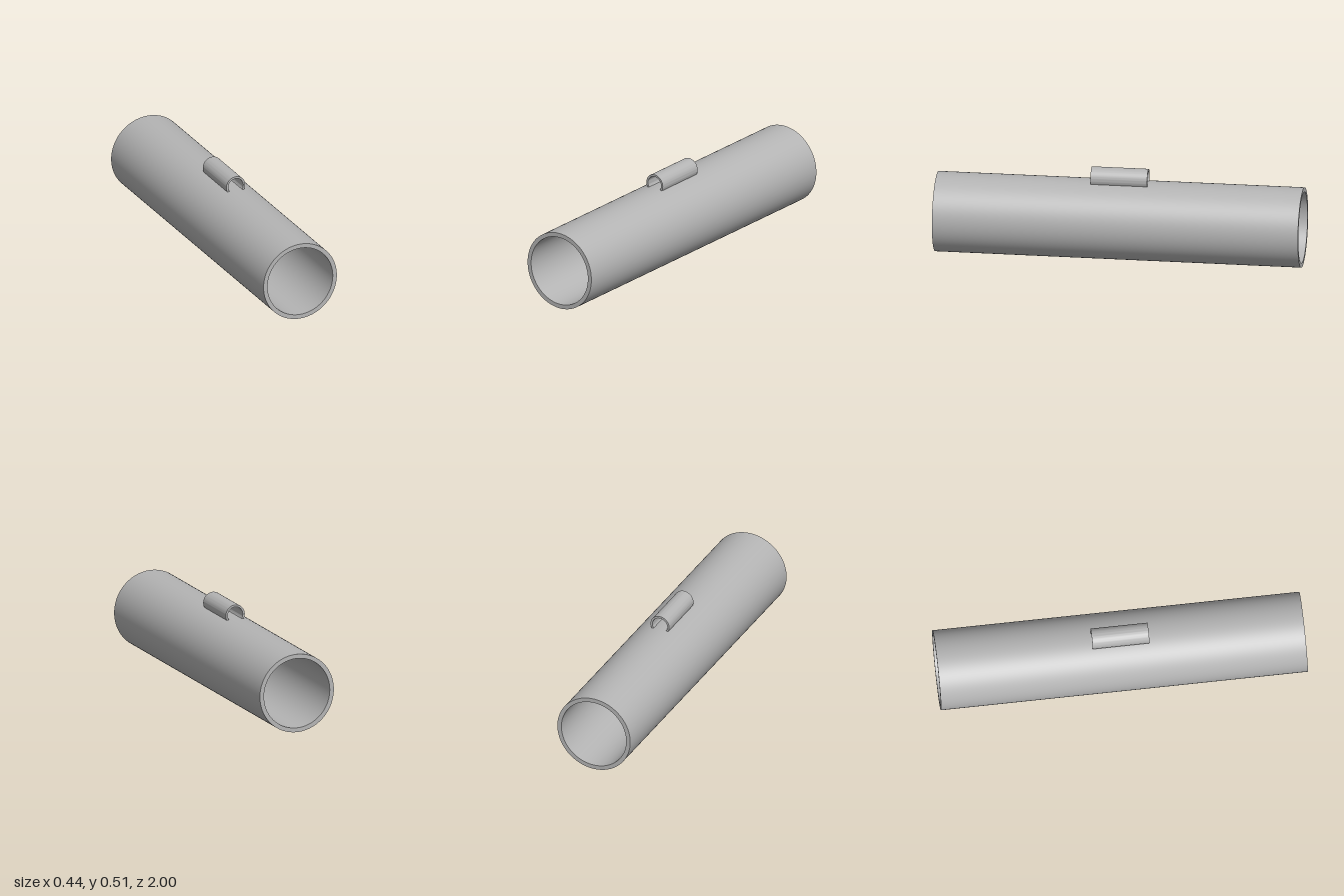
import * as THREE from 'three';
import { toCreasedNormals } from 'three/addons/utils/BufferGeometryUtils.js';

const grey = new THREE.MeshStandardMaterial({ color: 0xb4b4b4 });
grey.name = 'grey';

// Hollow tube lying along z, with flat ring ends
function tube(name, outer, inner, length, y, sides) {
  const h = length / 2;
  const profile = [[outer, -h], [outer, h], [inner, h], [inner, -h], [outer, -h]]
    .map(([r, t]) => new THREE.Vector2(r, t));
  const geometry = toCreasedNormals(new THREE.LatheGeometry(profile, sides), 0.6);
  geometry.rotateX(Math.PI / 2);
  const mesh = new THREE.Mesh(geometry, grey);
  mesh.name = name;
  mesh.position.y = y;
  return mesh;
}

export function createModel() {
  const group = new THREE.Group();
  group.name = 'tubeWithSleeve';
  // Large open pipe
  group.add(tube('mainTube', 0.218, 0.194, 2, 0.218, 96));
  // Small sleeve sunk through the top of the pipe wall
  group.add(tube('topSleeve', 0.056, 0.0445, 0.31, 0.457, 64));
  return group;
}
